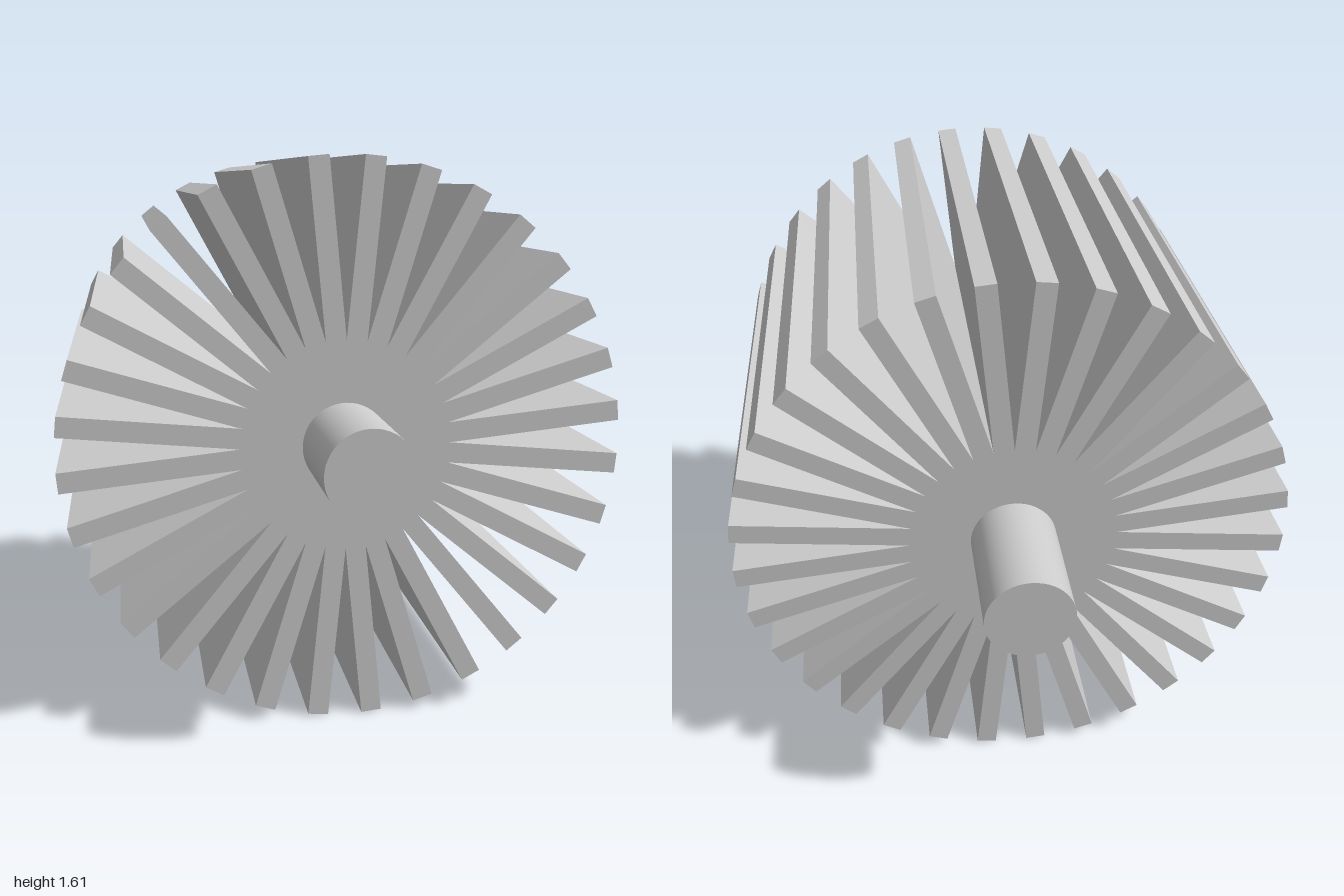
import * as THREE from 'three';

const FINS = 32, TIP = 0.808, HALF = 0.0295, CENTRE_Y = 0.808, LENGTH = 1.284;

export function createModel() {
  const group = new THREE.Group();
  const material = new THREE.MeshStandardMaterial({ color: 0xcccccc });
  const flat = new THREE.MeshStandardMaterial({ color: 0xcccccc, flatShading: true });

  // Finned core: straight fins of constant width meeting in sharp valleys
  const step = (2 * Math.PI) / FINS;
  const valley = HALF / Math.sin(step / 2);
  const outline = [];
  for (let i = 0; i < FINS; i++) {
    const a = (i + 0.5) * step, c = Math.cos(a), s = Math.sin(a);
    outline.push(
      new THREE.Vector2(valley * Math.cos(i * step), valley * Math.sin(i * step)),
      new THREE.Vector2(TIP * c + HALF * s, TIP * s - HALF * c),
      new THREE.Vector2(TIP * c - HALF * s, TIP * s + HALF * c)
    );
  }
  const finGeometry = new THREE.ExtrudeGeometry(new THREE.Shape(outline), { depth: LENGTH, bevelEnabled: false });
  finGeometry.translate(0, 0, -LENGTH / 2);
  const fins = new THREE.Mesh(finGeometry, flat);
  fins.name = 'finnedCore';
  fins.position.y = CENTRE_Y;

  // Shaft through the core, protruding at both ends
  const shaft = new THREE.Mesh(new THREE.CylinderGeometry(0.124, 0.124, 2, 48), material);
  shaft.name = 'shaft';
  shaft.rotation.x = Math.PI / 2;
  shaft.position.y = CENTRE_Y;

  group.add(fins, shaft);
  return group;
}
